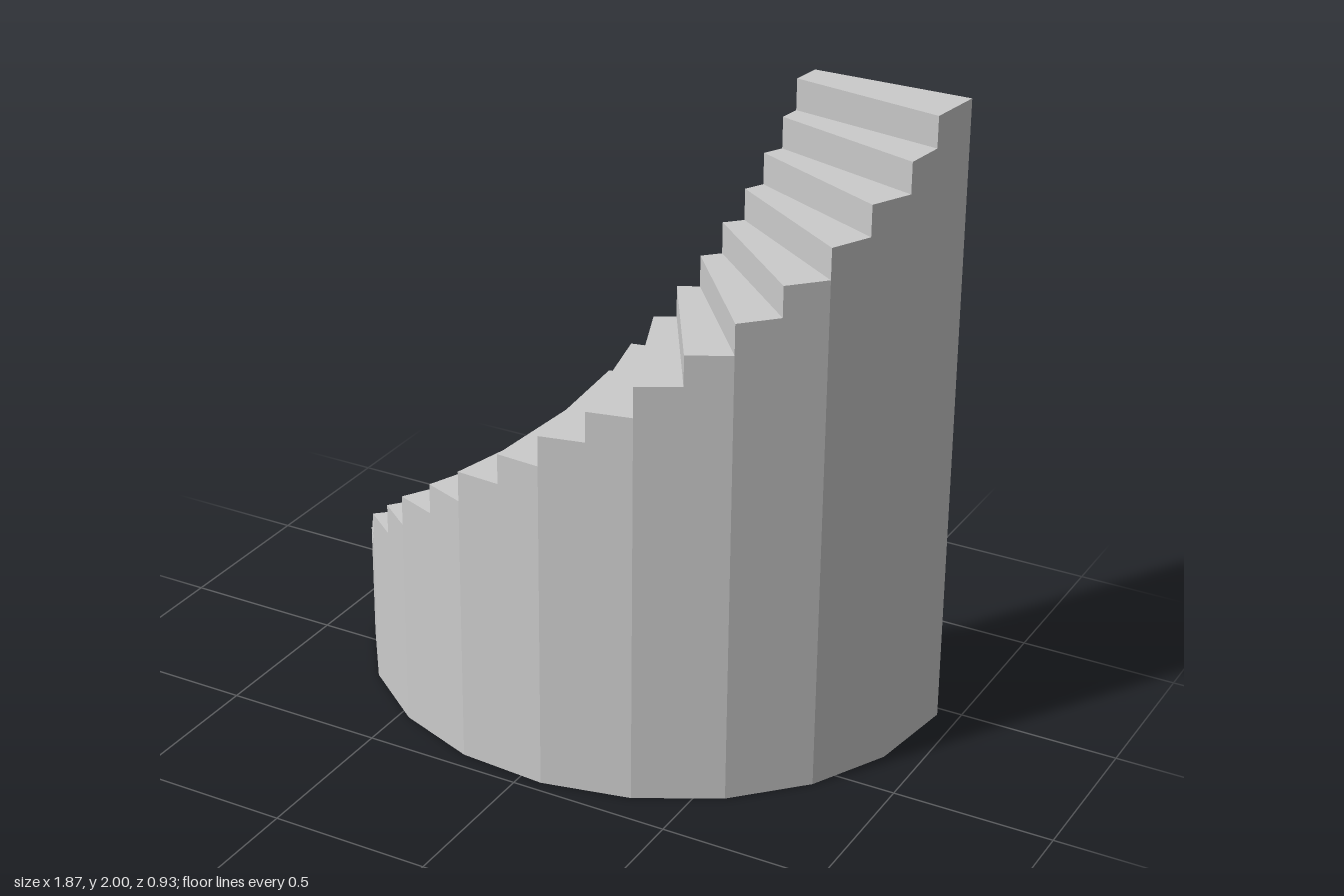
import * as THREE from 'three';

const STEPS = 21;
const RISE = 2 / STEPS;
const BACK = -0.465;

// Plan outline of one side: corners on every second step line, straight between,
// with both ends drawn out to the flat back.
function outline(rx, rz) {
  const corner = (i) => {
    const a = (i / STEPS) * Math.PI;
    return new THREE.Vector2(-rx * Math.cos(a), -0.43 + rz * Math.sin(a));
  };
  const points = [];
  for (let i = 0; i <= STEPS; i++) {
    if (i === 0) points.push(new THREE.Vector2(-rx, BACK));
    else if (i === STEPS) points.push(new THREE.Vector2(rx, BACK));
    else if (i % 2) points.push(corner(i));
    else if (i === STEPS - 1) points.push(corner(i - 1).lerp(new THREE.Vector2(rx, BACK), 0.42));
    else points.push(corner(i - 1).lerp(corner(i + 1), 0.5));
  }
  return points;
}

// Flat-shaded mesh from a list of four-cornered faces
function quadMesh(name, quads, material) {
  const positions = [];
  for (const [a, b, c, d] of quads) {
    for (const p of [a, b, c, a, c, d]) positions.push(...p);
  }
  const geometry = new THREE.BufferGeometry();
  geometry.setAttribute('position', new THREE.Float32BufferAttribute(positions, 3));
  geometry.computeVertexNormals();
  const mesh = new THREE.Mesh(geometry, material);
  mesh.name = name;
  return mesh;
}

export function createModel() {
  const group = new THREE.Group();
  group.name = 'curvedStaircase';
  const material = new THREE.MeshStandardMaterial({ color: 0xcccccc, flatShading: true });

  const outer = outline(0.934, 0.895);
  const inner = outline(0.45, 0.42);
  const O = (i, y) => [outer[i].x, y, outer[i].y];
  const I = (i, y) => [inner[i].x, y, inner[i].y];

  const treads = [], risers = [], outerWall = [], innerWall = [], underside = [];
  for (let i = 0; i < STEPS; i++) {
    const j = i + 1, low = i * RISE, top = j * RISE;
    treads.push([O(i, top), O(j, top), I(j, top), I(i, top)]);
    risers.push([I(i, low), O(i, low), O(i, top), I(i, top)]);
    outerWall.push([O(i, 0), O(j, 0), O(j, top), O(i, top)]);
    innerWall.push([I(j, 0), I(i, 0), I(i, top), I(j, top)]);
    underside.push([I(i, 0), I(j, 0), O(j, 0), O(i, 0)]);
  }
  // Tall flat wall behind the top step
  const endWall = [[O(STEPS, 0), I(STEPS, 0), I(STEPS, 2), O(STEPS, 2)]];

  const parts = { treads, risers, outerWall, innerWall, underside, endWall };
  for (const [name, quads] of Object.entries(parts)) group.add(quadMesh(name, quads, material));
  return group;
}
